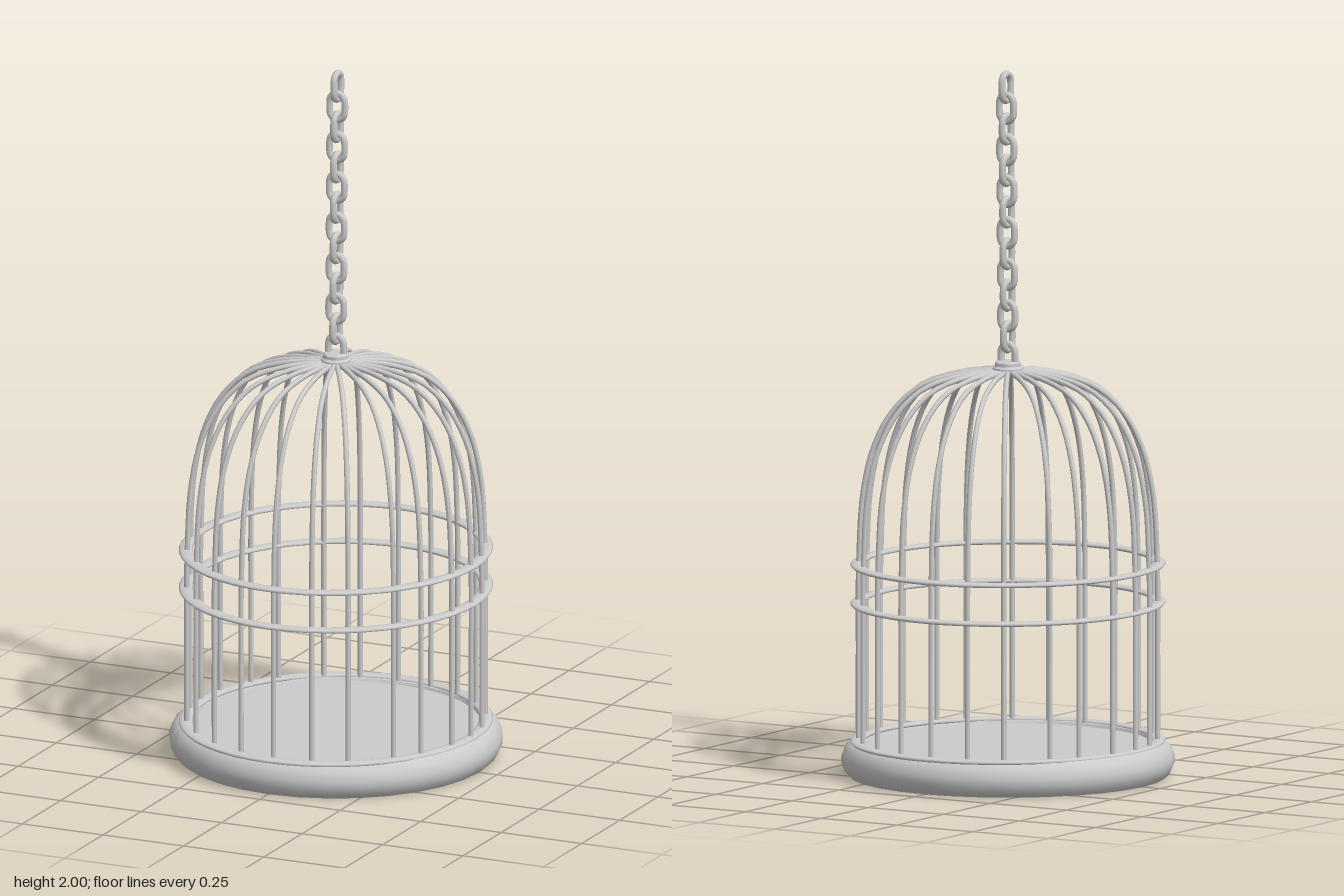
import * as THREE from 'three';
import { toCreasedNormals } from 'three/addons/utils/BufferGeometryUtils.js';

const metal = new THREE.MeshStandardMaterial({ color: 0xcccccc });
const v2 = (x, y) => new THREE.Vector2(x, y);

function addMesh(parent, name, geometry) {
  const mesh = new THREE.Mesh(geometry, metal);
  mesh.name = name;
  parent.add(mesh);
  return mesh;
}

// Closed oval link standing upright in the XY plane
function linkGeometry(width, height, radius) {
  const r = width / 2 - radius;
  const straight = height / 2 - width / 2;
  const points = [];
  for (let i = 0; i < 16; i++) {
    const a = ((i + 0.5) / 16) * Math.PI * 2;
    points.push(new THREE.Vector3(Math.cos(a) * r, Math.sin(a) * r + Math.sign(Math.sin(a)) * straight, 0));
  }
  return new THREE.TubeGeometry(new THREE.CatmullRomCurve3(points, true), 32, radius, 8, true);
}

export function createModel() {
  const cage = new THREE.Group();
  cage.name = 'hangingCage';

  // Rounded base tray with a flat floor
  const baseProfile = [
    v2(0, 0), v2(0.445, 0), v2(0.458, 0.012), v2(0.468, 0.035), v2(0.469, 0.055),
    v2(0.46, 0.08), v2(0.443, 0.097), v2(0.425, 0.1), v2(0.412, 0.096), v2(0.408, 0.088), v2(0, 0.088),
  ];
  addMesh(cage, 'base', toCreasedNormals(new THREE.LatheGeometry(baseProfile, 32), 0.7));

  // Flattened, slightly oval hoops
  const hoop = new THREE.TorusGeometry(0.428, 0.02, 10, 48);
  hoop.rotateX(Math.PI / 2);
  hoop.scale(0.977, 0.35, 1.023);
  [['baseHoop', 0.098], ['lowerHoop', 0.49], ['upperHoop', 0.6]].forEach(([name, y]) => {
    addMesh(cage, name, hoop).position.y = y;
  });

  // Bars rise straight, then curve into the dome; opposite bars pair up
  const barPath = new THREE.CatmullRomCurve3([
    [0.42, 0.085], [0.42, 0.35], [0.419, 0.6], [0.407, 0.8], [0.377, 0.93],
    [0.325, 1.03], [0.25, 1.1], [0.15, 1.134], [0.07, 1.143], [0, 1.147],
  ].map(([x, y]) => new THREE.Vector3(x, y, 0)));
  const bar = new THREE.TubeGeometry(barPath, 40, 0.0075, 8);
  const bars = new THREE.Group();
  bars.name = 'bars';
  cage.add(bars);
  const angles = [0, 12.5, 30, 46, 61, 76, 90.7, 106, 120, 138, 150, 166];
  for (const half of [0, 180]) {
    for (const angle of angles) {
      addMesh(bars, 'bar', bar).rotation.y = THREE.MathUtils.degToRad(angle + half);
    }
  }

  // Cap where the bars meet
  const capProfile = [
    v2(0, 1.138), v2(0.038, 1.138), v2(0.043, 1.145), v2(0.043, 1.155),
    v2(0.037, 1.161), v2(0.037, 1.17), v2(0.032, 1.175), v2(0, 1.175),
  ];
  addMesh(cage, 'cap', toCreasedNormals(new THREE.LatheGeometry(capProfile, 24), 0.7));

  // Chain of alternating links, leaning very slightly backwards
  const chain = new THREE.Group();
  chain.name = 'chain';
  cage.add(chain);
  const link = linkGeometry(0.066, 0.096, 0.01);
  const count = 14;
  for (let i = 0; i < count; i++) {
    const mesh = addMesh(chain, 'chainLink', link);
    mesh.position.set(0, 1.952 - i * 0.059, -0.009 * (1 - i / (count - 1)));
    mesh.rotation.y = i % 2 ? 0 : Math.PI / 2;
  }

  return cage;
}
